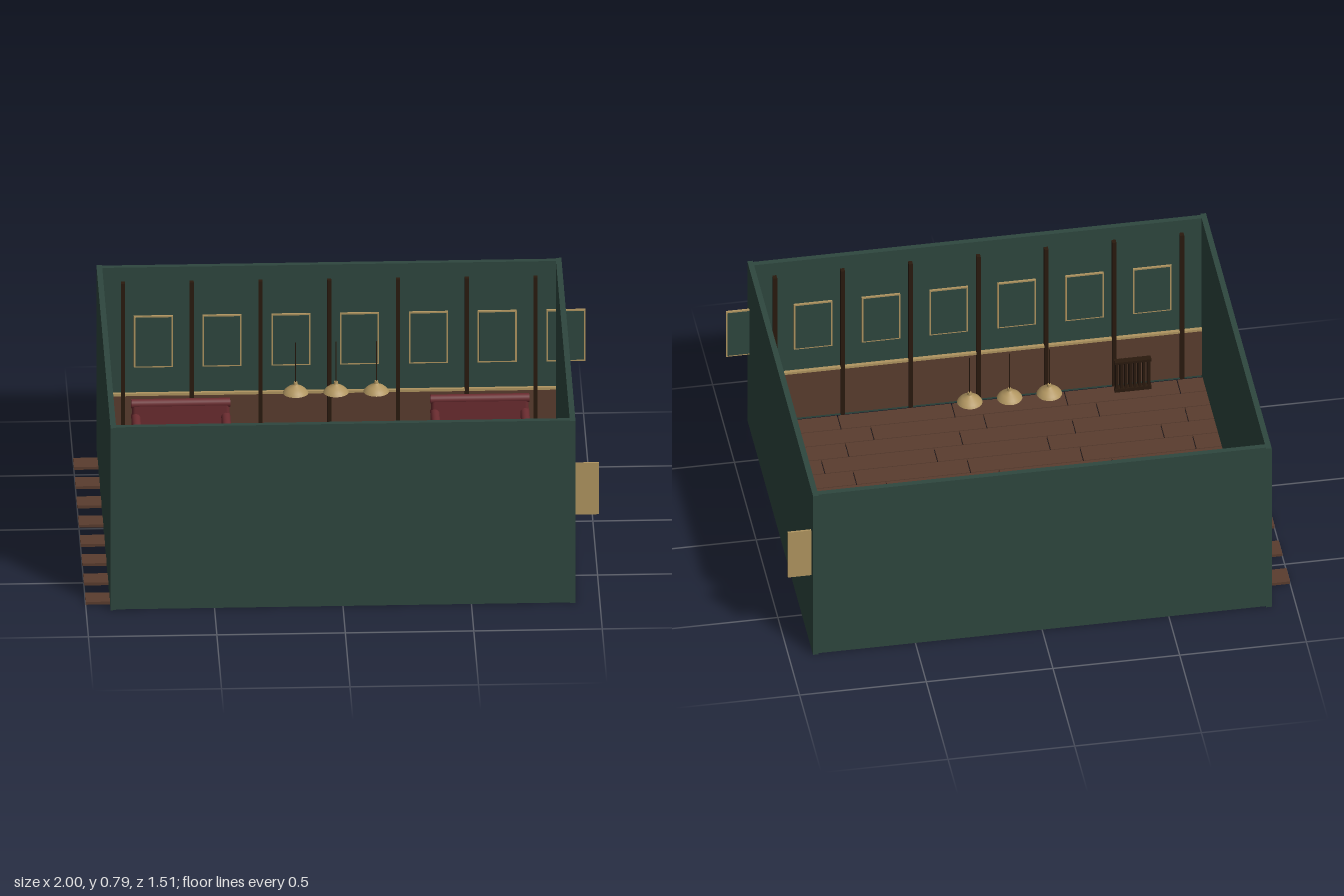
import * as THREE from 'three';
import { RoundedBoxGeometry } from 'three/addons/geometries/RoundedBoxGeometry.js';

const mat = (name, color, extra = {}) => {
  const m = new THREE.MeshStandardMaterial({ color, ...extra });
  m.name = name;
  return m;
};

export function createModel() {
  const teal = mat('teal wall', 0x2f473f);
  const wood = mat('brown wood', 0x5a3d2f);
  const dark = mat('dark wood', 0x2a1a0e);
  const gold = mat('brass', 0xb09560, { side: THREE.DoubleSide });
  const red = mat('burgundy leather', 0x6b2c30);

  const model = new THREE.Group();
  model.name = 'room';

  const add = (parent, name, geo, material, x, y, z) => {
    const m = new THREE.Mesh(geo, material);
    m.name = name;
    m.position.set(x, y, z);
    parent.add(m);
    return m;
  };
  // Box given by its limits on each axis
  const box = (parent, name, material, x0, x1, y0, y1, z0, z1) =>
    add(parent, name, new THREE.BoxGeometry(x1 - x0, y1 - y0, z1 - z0), material,
      (x0 + x1) / 2, (y0 + y1) / 2, (z0 + z1) / 2);
  const soft = (parent, name, x0, x1, y0, y1, z0, z1, r) =>
    add(parent, name, new RoundedBoxGeometry(x1 - x0, y1 - y0, z1 - z0, 3, r), red,
      (x0 + x1) / 2, (y0 + y1) / 2, (z0 + z1) / 2);
  const group = (name, parent = model) => {
    const g = new THREE.Group();
    g.name = name;
    parent.add(g);
    return g;
  };

  // Floor: staggered planks, alternate rows shifted to the right-hand side
  const floor = group('floor');
  const joints = [
    [-0.89, -0.67, -0.22, 0.225, 0.67, 0.89],
    [-1, -0.78, -0.335, 0.11, 0.56, 0.78],
    [-0.89, -0.445, 0, 0.445, 0.89],
    [-1, -0.78, -0.335, 0.11, 0.56, 0.78],
  ];
  for (let row = 0; row < 16; row++) {
    const z = -0.675 + row * 0.0893;
    const j = joints[row % 4];
    for (let i = 0; i + 1 < j.length; i++) {
      const end = i + 2 < j.length ? 0.004 : 0;
      box(floor, 'plank', wood, j[i], j[i + 1] - end, 0.002, 0.014, z - 0.0428, z + 0.0428);
    }
  }

  // Side walls
  for (const s of [-1, 1]) {
    add(model, 'sideWall', new THREE.BoxGeometry(0.022, 0.78, 1.515), teal, s * 0.894, 0.39, 0);
  }

  // Front and back walls with panelling, rail, posts and frames
  for (const s of [-1, 1]) {
    const wall = group(s < 0 ? 'backWall' : 'frontWall');
    const slab = (name, material, x0, x1, y0, y1, near, far) =>
      box(wall, name, material, x0, x1, y0, y1, Math.min(s * near, s * far), Math.max(s * near, s * far));
    slab('wallPanel', teal, -0.884, 0.884, 0, 0.78, 0.728, 0.75);
    slab('wainscot', wood, -0.883, 0.883, 0.014, 0.235, 0.72, 0.729);
    slab('dadoRail', gold, -0.883, 0.883, 0.235, 0.245, 0.714, 0.729);
    for (let i = 0; i < 7; i++) {
      const x = -0.803 + i * 0.2677;
      slab('post', dark, x - 0.008, x + 0.008, 0.014, 0.72, 0.708, 0.729);
      // Brass board with a teal panel facing the room
      const c = x + 0.118;
      slab('frameBoard', gold, c - 0.076, c + 0.076, 0.36, 0.58, 0.707, 0.715);
      slab('framePanel', teal, c - 0.07, c + 0.07, 0.366, 0.574, 0.705, 0.708);
    }
  }

  // Two sofas against the back wall
  for (const s of [-1, 1]) {
    const sofa = group('sofa');
    sofa.position.set(s * 0.582, 0, 0);
    soft(sofa, 'sofaBase', -0.185, 0.185, 0.03, 0.11, -0.625, -0.46, 0.01);
    soft(sofa, 'seatCushion', -0.158, 0.158, 0.1, 0.14, -0.6, -0.457, 0.014);
    soft(sofa, 'sofaBack', -0.19, 0.19, 0.05, 0.26, -0.628, -0.595, 0.014);
    const roll = add(sofa, 'backRoll', new THREE.CylinderGeometry(0.018, 0.018, 0.385, 20), red, 0, 0.25, -0.612);
    roll.rotation.z = Math.PI / 2;
    for (const a of [-1, 1]) {
      soft(sofa, 'armrest', a * 0.175 - 0.016, a * 0.175 + 0.016, 0.03, 0.2, -0.62, -0.458, 0.01);
      const armRoll = add(sofa, 'armRoll', new THREE.CylinderGeometry(0.018, 0.018, 0.165, 20), red, a * 0.175, 0.195, -0.538);
      armRoll.rotation.x = Math.PI / 2;
      for (const z of [-0.61, -0.475]) {
        add(sofa, 'sofaFoot', new THREE.CylinderGeometry(0.01, 0.007, 0.022, 12), dark, a * 0.165, 0.024, z);
      }
    }
  }

  // Three pendant lamps
  const profile = [[0.008, 0.036], [0.014, 0.03], [0.03, 0.022], [0.043, 0.011], [0.05, 0]]
    .map(([r, y]) => new THREE.Vector2(r, y)).reverse();
  for (const x of [-0.157, 0, 0.157]) {
    const lamp = group('pendantLamp');
    lamp.position.set(x, 0.57, 0);
    add(lamp, 'shade', new THREE.LatheGeometry(profile, 24), gold, 0, 0, 0);
    add(lamp, 'shadeCap', new THREE.CylinderGeometry(0.007, 0.009, 0.012, 16), gold, 0, 0.04, 0);
    add(lamp, 'bulb', new THREE.SphereGeometry(0.013, 16, 10), gold, 0, 0.012, 0);
    add(lamp, 'cord', new THREE.CylinderGeometry(0.002, 0.002, 0.175, 8), dark, 0, 0.1275, 0);
  }

  // Slim dark radiator by the front wall
  const radiator = group('radiator');
  box(radiator, 'radiatorTop', dark, -0.675, -0.53, 0.15, 0.16, 0.667, 0.692);
  box(radiator, 'radiatorFoot', dark, -0.675, -0.53, 0.014, 0.03, 0.667, 0.692);
  for (let i = 0; i < 8; i++) {
    const x = -0.665 + i * 0.018;
    box(radiator, 'radiatorFin', dark, x - 0.005, x + 0.005, 0.025, 0.155, 0.668, 0.7);
  }

  return model;
}
